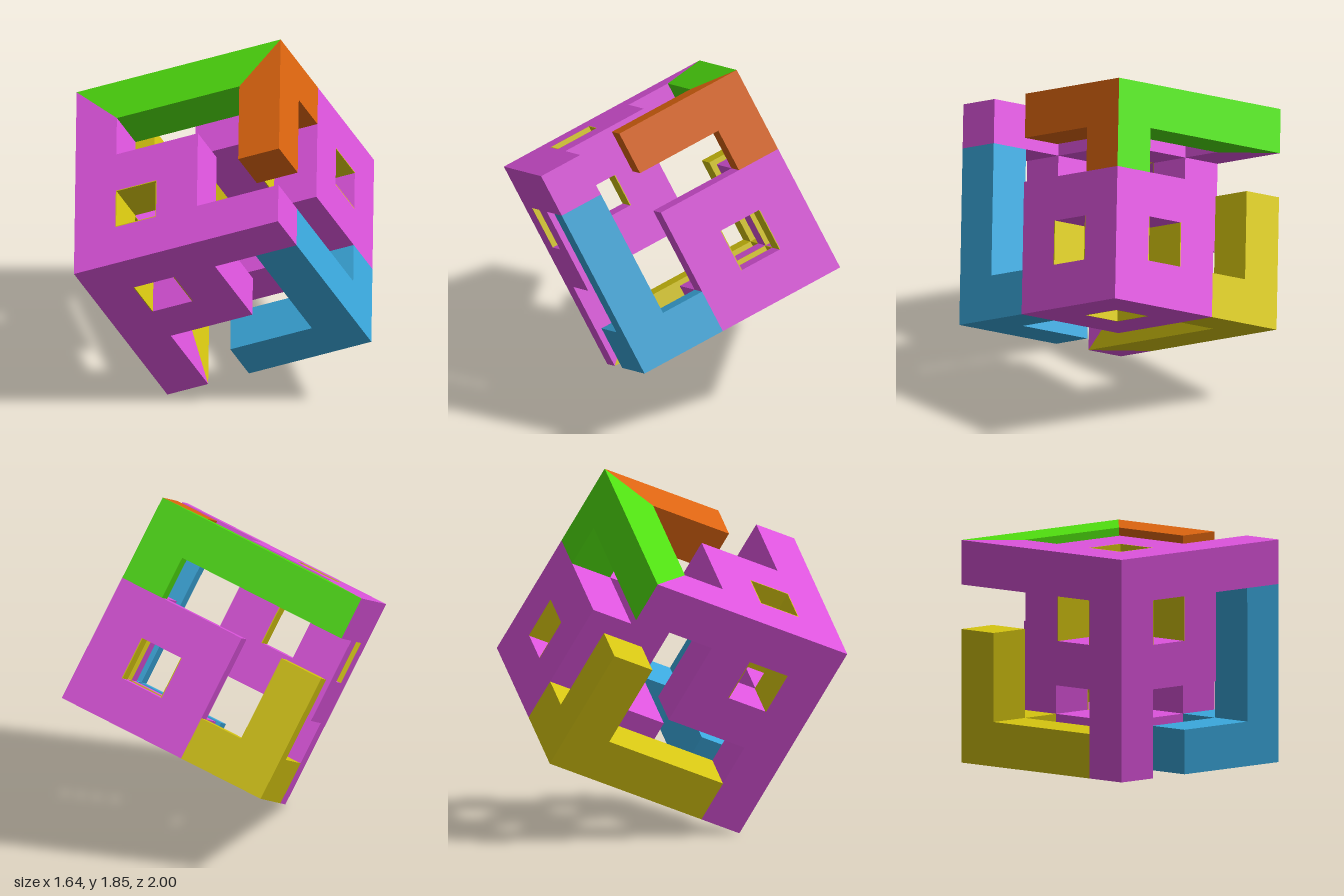
import * as THREE from 'three';
import { ConvexGeometry } from 'three/addons/geometries/ConvexGeometry.js';

const paint = (name, color) => {
  const m = new THREE.MeshStandardMaterial({ color });
  m.name = name;
  return m;
};

export function createModel() {
  const magenta = paint('magenta', 0xdb53db);
  const green = paint('green', 0x4fdd0f);
  const orange = paint('orange', 0xdb640f);
  const blue = paint('blue', 0x3aa7db);
  const yellow = paint('yellow', 0xd4c410);

  // The cube is a 5 x 5 x 5 grid: a runs right-back, b left-back, w down, from the front top corner
  const cube = new THREE.Group();
  cube.name = 'hollowCube';
  const place = (a, b, w) => new THREE.Vector3(a - 2.5, 2.5 - w, 2.5 - b);

  const add = (name, geometry, material) => {
    const mesh = new THREE.Mesh(geometry, material);
    mesh.name = name;
    cube.add(mesh);
    return mesh;
  };
  const box = (name, material, lo, hi) => {
    const [a, b, w] = hi.map((h, i) => h - lo[i]);
    const mid = hi.map((h, i) => (h + lo[i]) / 2);
    add(name, new THREE.BoxGeometry(a, w, b), material).position.copy(place(...mid));
  };
  const hull = (name, material, points) =>
    add(name, new ConvexGeometry(points.map(p => place(...p))), material);
  // Upright prism with a mitred outline in the a-b plane
  const prism = (name, material, outline, w0, w1) =>
    hull(name, material, [w0, w1].flatMap(w => outline.map(([a, b]) => [a, b, w])));

  // Square plates with a window, three around each of two opposite corners
  const shape = new THREE.Shape();
  shape.moveTo(-1.5, -1.5).lineTo(1.5, -1.5).lineTo(1.5, 1.5).lineTo(-1.5, 1.5).closePath();
  const hole = new THREE.Path();
  hole.moveTo(-0.5, -0.5).lineTo(-0.5, 0.5).lineTo(0.5, 0.5).lineTo(0.5, -0.5).closePath();
  shape.holes.push(hole);
  for (const [corner, mid, outer] of [['front', 1.5, 0.5], ['back', 3.5, 4.5]]) {
    for (let axis = 0; axis < 3; axis++) {
      const g = new THREE.ExtrudeGeometry(shape, { depth: 1, bevelEnabled: false });
      g.translate(0, 0, -0.5);
      if (axis === 0) g.rotateY(Math.PI / 2);
      if (axis === 2) g.rotateX(Math.PI / 2);
      const centre = [mid, mid, mid];
      centre[axis] = outer;
      add(corner + 'WindowPlate', g, magenta).position.copy(place(...centre));

      // Thin yellow linings on the upright walls of the window
      for (const side of [0, 1]) {
        if (side === axis) continue;
        for (const s of [-1, 1]) {
          const lo = centre.map(c => c - 0.5), hi = centre.map(c => c + 0.5);
          lo[side] = centre[side] + s * 0.49 - 0.01;
          hi[side] = lo[side] + 0.02;
          box('windowLining', yellow, lo, hi);
        }
      }
    }
  }

  // Magenta arms leaving the front corner
  prism('leftArm', magenta, [[0, 3], [1, 3], [1, 4], [0, 5]], 0, 1);
  box('rightArm', magenta, [3, 0, 0], [5, 1, 1]);
  box('frontColumn', magenta, [0, 0, 3], [1, 1, 4]);

  // Foot of the front column, with a yellow inner corner
  const cut = [[1, 0, 5], [0, 1, 5], [1, 1, 4]];
  hull('foot', magenta, [[0, 0, 4], [1, 0, 4], [0, 1, 4], [0, 0, 5], ...cut]);
  hull('footCorner', yellow, [...cut, [1, 1, 5]]);

  // Green and orange rails, mitred at the top back corner
  prism('greenRail', green, [[0, 5], [5, 5], [4, 4], [1, 4]], 0, 1);
  prism('greenPost', green, [[5, 5], [4, 5], [4, 4]], 1, 2);
  prism('orangeRail', orange, [[5, 5], [5, 2], [4, 2], [4, 4]], 0, 1);
  prism('orangePost', orange, [[5, 5], [5, 4], [4, 4]], 1, 2);

  // Blue bracket on the right
  box('blueColumn', blue, [4, 0, 1], [5, 1, 5]);
  box('blueFrontBar', blue, [2, 0, 4], [4, 1, 5]);
  box('blueBackBar', blue, [4, 1, 4], [5, 2, 5]);

  // Yellow bracket on the left
  box('yellowColumn', yellow, [0, 4, 2], [1, 5, 5]);
  box('yellowFrontBar', yellow, [0, 1, 4], [1, 4, 5]);
  box('yellowBackBar', yellow, [1, 4, 4], [2, 5, 5]);

  // Tip the cube onto its front bottom corner
  const up = new THREE.Vector3(0.01, 0.98, 0.62).normalize();
  const x = new THREE.Vector3(0.69, 0.38, -0.617);
  x.addScaledVector(up, -x.dot(up)).normalize();
  const z = new THREE.Vector3().crossVectors(x, up);
  cube.quaternion.setFromRotationMatrix(new THREE.Matrix4().makeBasis(x, up, z));
  cube.scale.setScalar(1.156 / 5);
  cube.position.y = 0.928;

  const model = new THREE.Group();
  model.name = 'tippedCube';
  model.add(cube);
  return model;
}
